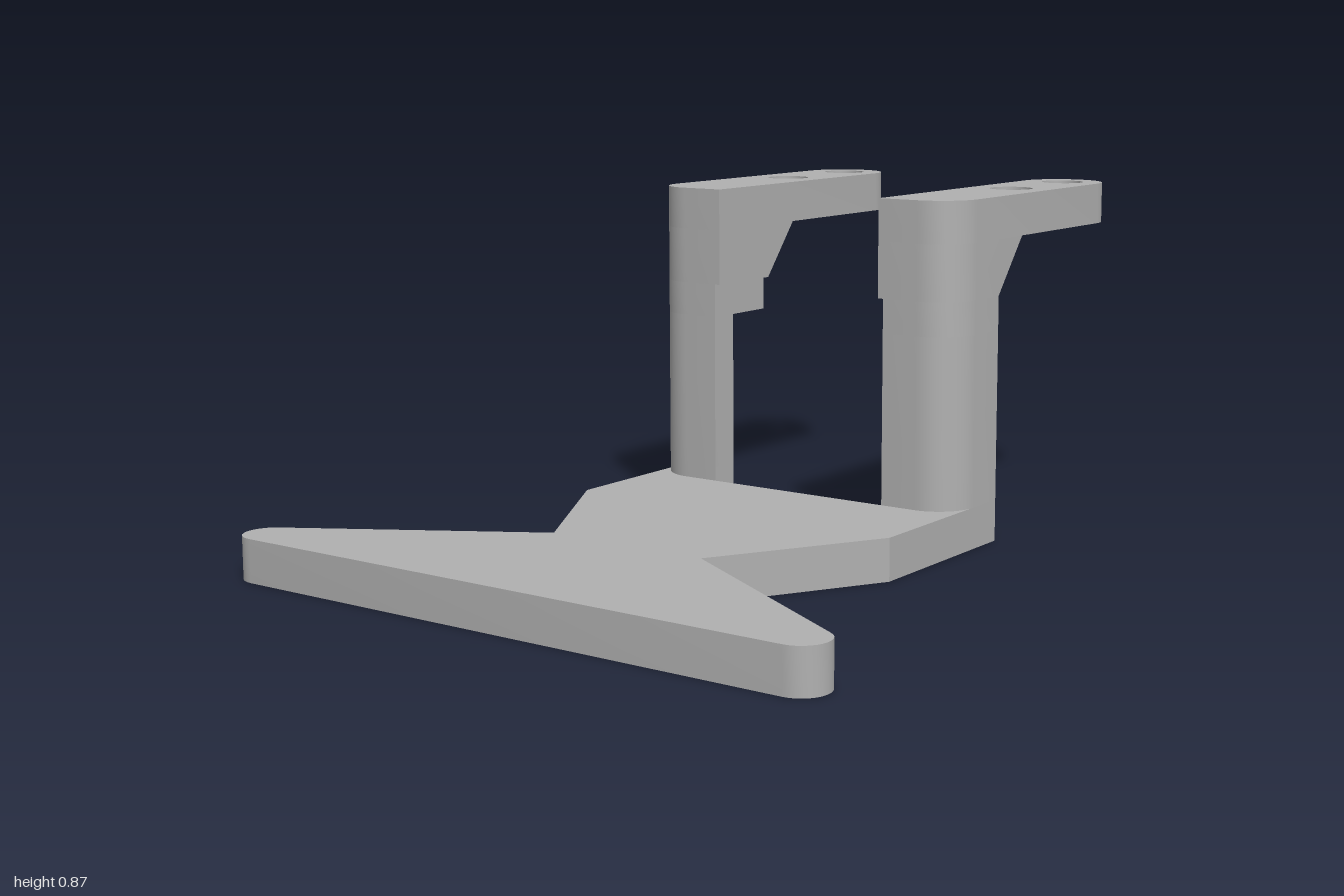
import * as THREE from 'three';
import { toCreasedNormals } from 'three/addons/utils/BufferGeometryUtils.js';

const BACK = -0.365, FRONT = -0.147, OUTER = 0.455;

// Points [x, z] along an arc; angles in degrees, 0 = +x, 90 = +z
function arc(cx, cz, r, from, to, n = 12) {
  return Array.from({ length: n + 1 }, (_, i) => {
    const a = THREE.MathUtils.degToRad(from + (to - from) * i / n);
    return [cx + r * Math.cos(a), cz + r * Math.sin(a)];
  });
}

// Extrude a plan outline of [x, z] points upwards from y0 to y1
function slab(points, y0, y1, side = 1, holes = []) {
  const toShape = (p) => p.map(([x, z]) => new THREE.Vector2(x * side, -z));
  const shape = new THREE.Shape(toShape(points));
  for (const h of holes) shape.holes.push(new THREE.Path(toShape(h)));
  const geo = new THREE.ExtrudeGeometry(shape, { depth: y1 - y0, bevelEnabled: false });
  return geo.rotateX(-Math.PI / 2).translate(0, y0, 0);
}

export function createModel() {
  const model = new THREE.Group();
  model.name = 'bracket';
  const grey = new THREE.MeshStandardMaterial({ color: 0xb0b0b0 });
  grey.name = 'plain grey';

  const add = (parent, name, geo) => {
    const mesh = new THREE.Mesh(toCreasedNormals(geo, 0.5), grey);
    mesh.name = name;
    parent.add(mesh);
  };

  // Rounded outer front corner and hollow inner back corner of the uprights
  const corner = arc(OUTER - 0.105, FRONT - 0.105, 0.105, 90, 0);
  const hollow = arc(0.255, FRONT - 0.1, 0.1, 0, 90);

  // Base plate: one half outline, mirrored
  const half = [
    ...hollow.slice().reverse(),
    [0.355, BACK], [OUTER, BACK], [OUTER, 0.135], [0.215, 0.545],
    ...arc(0.75, 0.935, 0.065, -60, 90),
  ];
  const other = half.map(([x, z]) => [-x, z]).reverse();
  add(model, 'basePlate', slab([...half, ...other], 0, 0.105));

  for (const side of [1, -1]) {
    const arm = new THREE.Group();
    arm.name = side > 0 ? 'leftArm' : 'rightArm';
    model.add(arm);

    // Hollowed upright
    add(arm, 'upright', slab(
      [...corner, [OUTER, BACK], [0.355, BACK], ...hollow], 0.105, 0.535, side));

    // Solid collar above the hollow
    add(arm, 'collar', slab(
      [...corner, [OUTER, BACK], [0.255, BACK], [0.255, FRONT]], 0.535, 0.62, side));

    // Gusset with a sloping back face
    const gusset = slab(
      [...corner, [OUTER, -0.48], [0.24, -0.48], [0.24, FRONT]], 0.62, 0.76, side);
    const pos = gusset.attributes.position;
    for (let i = 0; i < pos.count; i++) {
      if (pos.getY(i) < 0.63 && pos.getZ(i) < -0.47) pos.setZ(i, BACK);
    }
    gusset.computeVertexNormals();
    add(arm, 'gusset', gusset);

    // Mounting strip with a round end and two holes
    const holes = [-0.897, -0.615].map((z) => arc(0.348, z, 0.055, 0, 345, 23));
    add(arm, 'mountingStrip', slab(
      [...corner, ...arc(0.3475, -0.8925, 0.1075, 0, -180, 20), [0.24, FRONT]],
      0.76, 0.865, side, holes));
  }
  return model;
}
